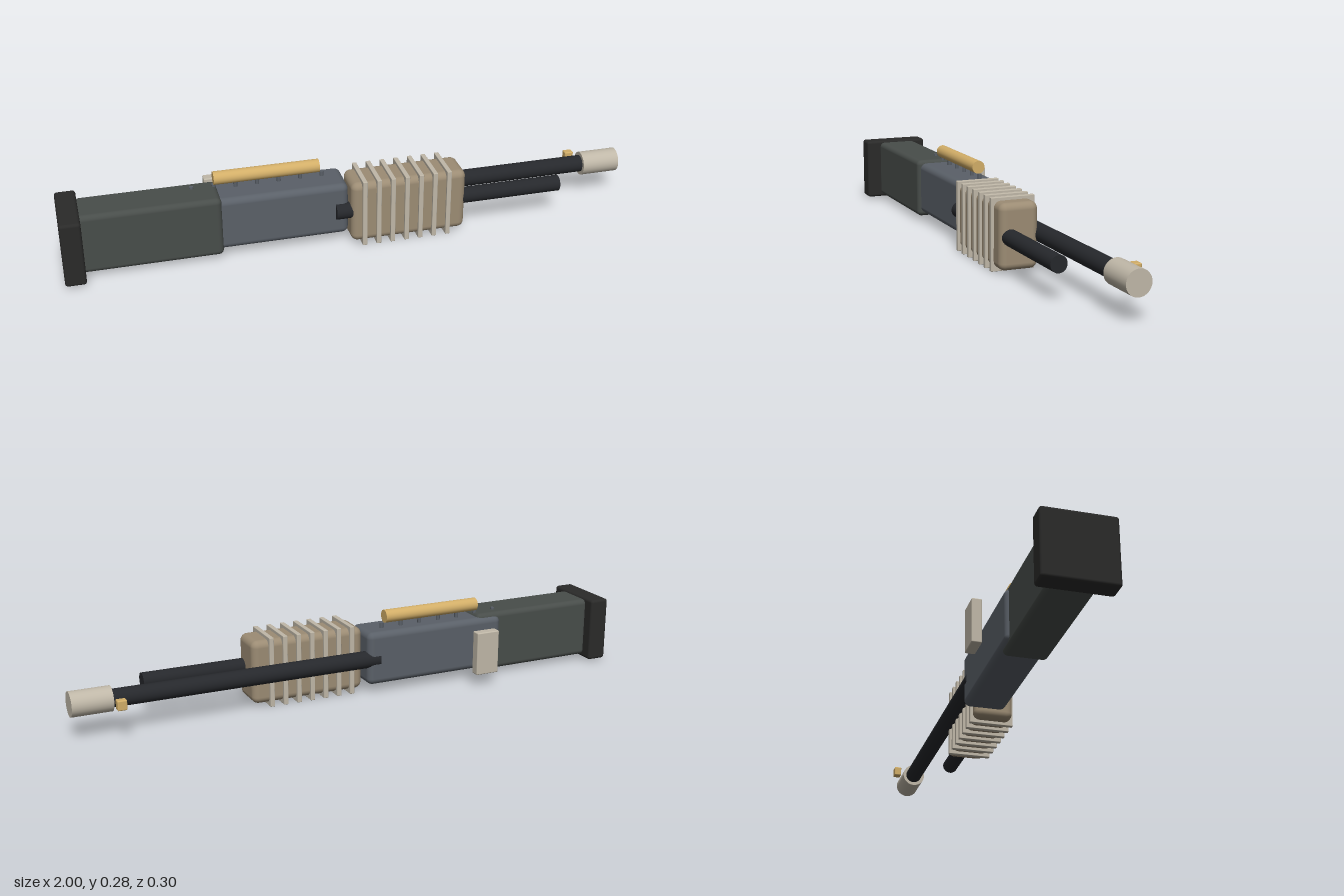
import * as THREE from 'three';
import { RoundedBoxGeometry } from 'three/addons/geometries/RoundedBoxGeometry.js';

const paint = (color) => new THREE.MeshStandardMaterial({ color });

export function createModel() {
  const model = new THREE.Group();
  const rubber = paint(0x2a2a29), polymer = paint(0x484d4a), slate = paint(0x5a6068);
  const tan = paint(0x9c8c74), stone = paint(0xc0b8a8), steel = paint(0x26282c), brass = paint(0xd2ae68);

  function add(name, geometry, material, x, y, z) {
    const mesh = new THREE.Mesh(geometry, material);
    mesh.name = name;
    mesh.position.set(x, y, z);
    model.add(mesh);
    return mesh;
  }

  // Rounded block given by its [min, max] extents
  function block(name, material, [x0, x1], [y0, y1], [z0, z1], radius) {
    const g = new RoundedBoxGeometry(x1 - x0, y1 - y0, z1 - z0, 4, radius);
    return add(name, g, material, (x0 + x1) / 2, (y0 + y1) / 2, (z0 + z1) / 2);
  }

  // Cylinder lying along x
  function rod(name, material, x0, x1, radius, y, z) {
    const g = new THREE.CylinderGeometry(radius, radius, x1 - x0, 32).rotateZ(-Math.PI / 2);
    return add(name, g, material, (x0 + x1) / 2, y, z);
  }

  // Body
  block('buttPad', rubber, [-1, -0.93], [0.01, 0.239], [-0.088, 0.152], 0.01);
  block('stock', polymer, [-0.94, -0.468], [0.02, 0.233], [-0.047, 0.1], 0.018);
  block('receiver', slate, [-0.56, -0.033], [0.034, 0.222], [-0.058, 0.088], 0.022);

  // Pump grip with its ribs
  block('grip', tan, [-0.031, 0.375], [0.013, 0.235], [-0.013, 0.121], 0.024);
  for (let i = 0; i < 7; i++) {
    const x = 0.013 + i * 0.0495;
    block('gripRib', stone, [x - 0.008, x + 0.008], [0.002, 0.246], [-0.022, 0.13], 0.002);
  }

  // Barrel, muzzle and tube beside it
  rod('barrel', steel, -0.08, 0.9, 0.03, 0.124, -0.032);
  rod('muzzle', stone, 0.865, 1, 0.042, 0.124, -0.031);
  rod('sideTube', steel, -0.08, 0.73, 0.028, 0.124, 0.086);

  // Row of shells on top
  const joints = [-0.48, -0.331, -0.26, -0.189, -0.117];
  for (let i = 0; i < 4; i++) rod('shell', brass, joints[i], joints[i + 1], 0.023, 0.262, -0.003);

  // Pins under the shells
  for (let i = 0; i < 7; i++) {
    add('pin', new THREE.CylinderGeometry(0.007, 0.007, 0.05, 12), slate, -0.554 + i * 0.0745, 0.215, -0.003);
  }

  // Side block and sight
  block('sideBlock', stone, [-0.496, -0.41], [0.047, 0.201], [-0.15, -0.116], 0.004);
  block('sight', brass, [0.834, 0.866], [0.107, 0.141], [-0.115, -0.089], 0.004);

  return model;
}
